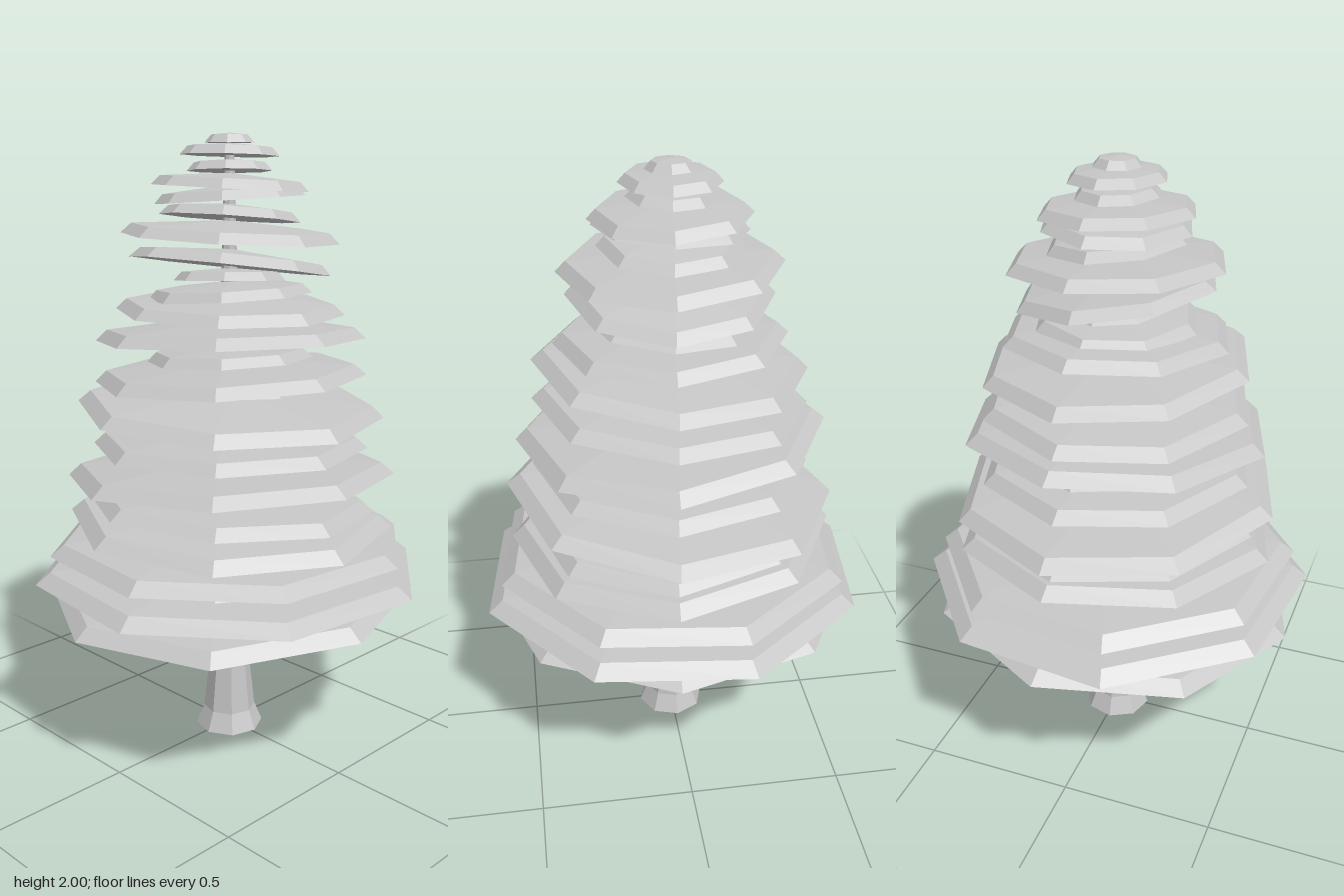
import * as THREE from 'three';

const grey = new THREE.MeshStandardMaterial({ color: 0xc6c6c6, flatShading: true });
grey.name = 'pale grey';

// Eight-sided solid from a [radius, height] profile
function octagonLathe(profile) {
  return new THREE.LatheGeometry(profile.map(([r, y]) => new THREE.Vector2(r, y)), 8);
}

// One foliage disc: flat underside, bevelled rim, shallow conical top.
// rise = how much higher the right end / the front end is than its opposite.
function foliageDisc([y, radius, riseRight, riseFront, spin = -5], i) {
  const bevel = 0.018 + Math.min(0.05, radius * 0.05);
  const rim = Math.min(0.038, 0.022 + radius * 0.03);
  const geometry = octagonLathe([
    [0, 0], [radius, 0], [radius - bevel * 0.95, rim], [0, rim + radius * 0.07],
  ]);
  geometry.rotateY(THREE.MathUtils.degToRad(spin));
  const mesh = new THREE.Mesh(geometry, grey);
  mesh.name = 'foliageDisc' + (i + 1);
  mesh.position.y = y;
  mesh.rotation.set(-riseFront / (2 * radius), 0, riseRight / (2 * radius));
  return mesh;
}

// height, radius, rise to the right, rise to the front, spin in degrees
const discs = [
  [0.505, 0.620, 0.005, -0.065],
  [0.577, 0.655, 0.005, 0.000, 16],
  [0.625, 0.470, -0.010, 0.020],
  [0.670, 0.605, 0.010, 0.000, 16],
  [0.750, 0.540, -0.040, 0.000],
  [0.805, 0.480, -0.010, 0.050],
  [0.903, 0.545, 0.065, 0.030],
  [1.002, 0.455, 0.015, 0.015],
  [1.070, 0.340, 0.035, 0.030],
  [1.125, 0.505, -0.050, 0.000],
  [1.185, 0.250, 0.020, 0.030],
  [1.228, 0.445, 0.040, -0.010],
  [1.290, 0.270, 0.030, 0.000],
  [1.355, 0.440, 0.050, 0.030],
  [1.410, 0.160, 0.000, 0.020],
  [1.445, 0.370, -0.020, 0.000],
  [1.495, 0.265, 0.030, -0.010],
  [1.545, 0.180, 0.020, 0.020],
  [1.590, 0.325, 0.000, 0.090],
  [1.677, 0.350, -0.025, 0.025],
  [1.740, 0.225, 0.005, 0.045],
  [1.797, 0.240, 0.025, -0.015],
  [1.832, 0.250, -0.015, 0.020],
  [1.885, 0.135, 0.010, 0.010],
  [1.932, 0.157, 0.000, 0.010],
  [1.970, 0.078, 0.000, 0.000],
];

export function createModel() {
  const tree = new THREE.Group();
  tree.name = 'tree';

  // Trunk flaring out at the foot
  const trunk = new THREE.Mesh(octagonLathe([
    [0, 0], [0.114, 0], [0.088, 0.065], [0.068, 0.25], [0.058, 0.54], [0, 0.54],
  ]).rotateY(0.1), grey);
  trunk.name = 'trunk';
  tree.add(trunk);

  // Core holding the discs together
  const core = new THREE.Mesh(octagonLathe([[0, 0.52], [0.055, 0.52], [0.015, 1.95], [0, 1.95]]), grey);
  core.name = 'upperTrunk';
  tree.add(core);

  // Tilted stack of foliage
  const foliage = new THREE.Group();
  foliage.name = 'foliage';
  discs.forEach((d, i) => foliage.add(foliageDisc(d, i)));
  tree.add(foliage);
  return tree;
}
